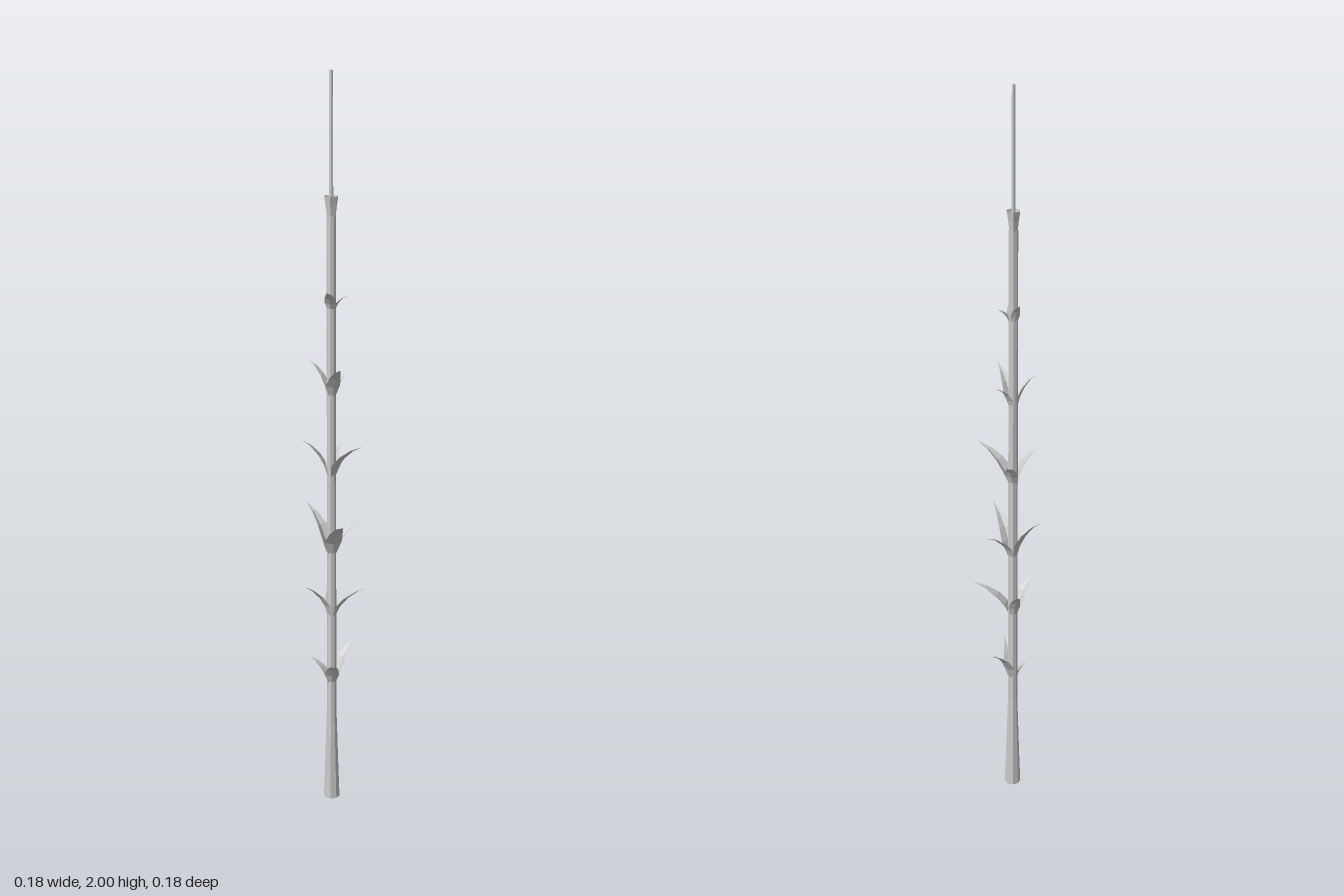
import * as THREE from 'three';

const grey = new THREE.MeshStandardMaterial({ color: 0xcccccc, flatShading: true });
const thin = new THREE.MeshStandardMaterial({ color: 0xcccccc, flatShading: true, side: THREE.DoubleSide });
const CX = -0.015, CZ = -0.018;

// Whorls: base height, then three leaf tips [x, y, z]
const whorls = [
  [0.35, [0.045, 0.46, -0.092], [0.005, 0.435, 0.07], [-0.078, 0.42, -0.027]],
  [0.55, [-0.08, 0.65, 0.038], [0.092, 0.645, -0.003], [-0.03, 0.635, -0.082]],
  [0.73, [-0.092, 0.855, -0.067], [0.035, 0.845, 0.09], [0.052, 0.81, -0.07]],
  [0.95, [0.077, 1.05, 0.033], [-0.09, 1.05, 0.002], [0, 1.02, -0.082]],
  [1.17, [-0.075, 1.26, -0.028], [0.022, 1.26, 0.06], [0.027, 1.23, -0.05]],
  [1.40, [-0.015, 1.455, 0.045], [-0.03, 1.455, -0.055], [0.025, 1.435, -0.022]],
];

// Leaf sections: share of reach, share of rise, share of width
const sections = [[0, 0, 0.5], [0.14, 0.3, 1], [0.36, 0.58, 0.8], [0.66, 0.83, 0.42], [1, 1, 0]];

// Pointed leaf, folded along its midrib and bending outward toward the tip
function makeLeaf(reach, rise, halfWidth) {
  const pos = [], index = [];
  const start = 0.011;
  sections.forEach(([r, h, w], i) => {
    const x = start + r * (reach - start), y = h * rise, z = w * halfWidth;
    const fold = z * 0.35;
    pos.push(x - fold, y + fold * 0.5, -z, x, y, 0, x - fold, y + fold * 0.5, z);
    if (i === 0) return;
    for (let k = 0; k < 2; k++) {
      const a = (i - 1) * 3 + k, b = a + 3;
      index.push(a, a + 1, b, a + 1, b + 1, b);
    }
  });
  const g = new THREE.BufferGeometry();
  g.setAttribute('position', new THREE.Float32BufferAttribute(pos, 3));
  g.setIndex(index);
  g.computeVertexNormals();
  return new THREE.Mesh(g, thin);
}

function lathe(name, points, sides, material) {
  const mesh = new THREE.Mesh(
    new THREE.LatheGeometry(points.map(([r, y]) => new THREE.Vector2(r, y)), sides), material);
  mesh.name = name;
  mesh.position.set(CX, 0, CZ);
  return mesh;
}

export function createModel() {
  const model = new THREE.Group();
  model.name = 'leafyStalk';

  // Stalk with a wider foot, flared cup and thin top rod
  model.add(lathe('stem', [[0, 0], [0.022, 0], [0.0185, 0.1], [0.013, 0.28], [0.012, 1.64], [0, 1.64]], 8, grey));
  model.add(lathe('cup', [[0.0115, 1.635], [0.015, 1.665], [0.019, 1.69]], 6, thin));
  model.add(lathe('topRod', [[0.0055, 1.63], [0.005, 2], [0, 2]], 6, grey));

  // Leaf whorls
  whorls.forEach(([y, ...tips], i) => {
    const whorl = new THREE.Group();
    whorl.name = `leafWhorl${i + 1}`;
    whorl.position.set(CX, y, CZ);
    for (const [tx, ty, tz] of tips) {
      const dx = tx - CX, dz = tz - CZ, reach = Math.hypot(dx, dz);
      const leaf = makeLeaf(reach, ty - y, 0.008 + 0.13 * reach);
      leaf.name = 'leaf';
      leaf.rotation.y = Math.atan2(-dz, dx);
      whorl.add(leaf);
    }
    model.add(whorl);
  });
  return model;
}
